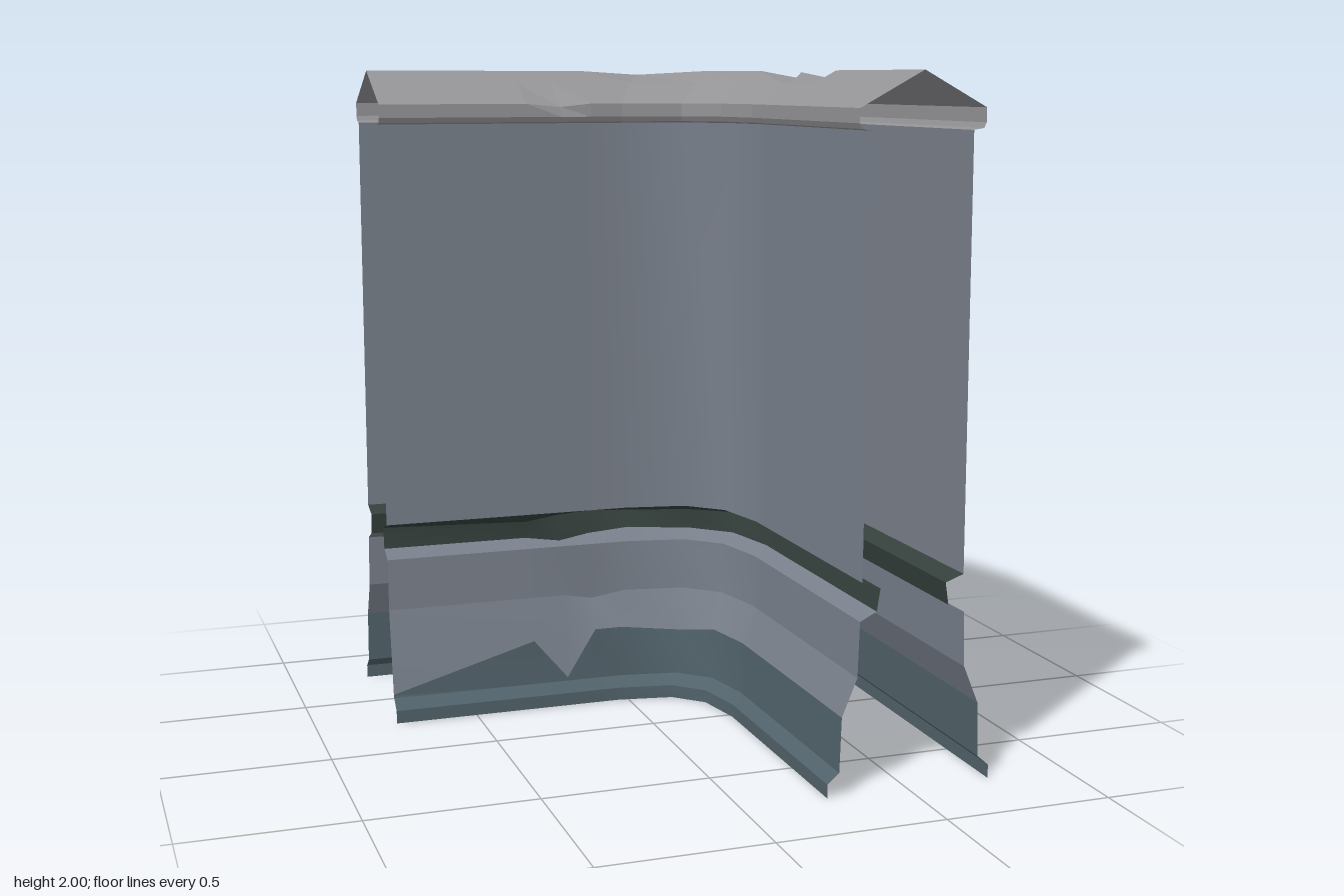
import * as THREE from 'three';

// Plan of the L-shaped run: [outer x, outer z, inner x, inner z] at the widest footing
const STATIONS = [
  [-0.755, -0.755, -0.755, -0.255],
  [-0.3, -0.755, -0.3, -0.255],
  [-0.19, -0.755, -0.19, -0.255],
  [-0.06, -0.755, -0.1, -0.255],
  [0.25, -0.755, -0.03, -0.255],
  [0.53, -0.70, 0.14, -0.225],
  [0.70, -0.53, 0.225, -0.14],
  [0.755, -0.25, 0.255, 0.02],
  [0.755, -0.1, 0.255, 0.06],
  [0.755, 0.06, 0.255, 0.12],
  [0.755, 0.18, 0.255, 0.18],
  [0.755, 0.755, 0.255, 0.755],
];
const HALF_WIDTH = 0.25;

// Wear: [profile distance, profile height, station, shift in distance, shift in height]
const DENTS = [
  // outer footing
  [0.21, 0.23, 3, 0, -0.03], [0.165, 0.34, 4, 0.01, 0.01], [0.21, 0.23, 6, -0.01, 0.02],
  [0.165, 0.34, 6, 0.01, -0.02], [0.21, 0.23, 7, 0, -0.03],
  // inner footing
  [-0.21, 0.23, 0, 0, -0.15], [-0.21, 0.23, 1, 0, -0.02], [-0.21, 0.23, 2, 0, -0.15],
  [-0.165, 0.34, 3, 0.01, -0.02], [-0.21, 0.23, 5, 0.01, -0.02],
  // grooves
  [0.11, 0.525, 7, 0.02, 0.01], [-0.11, 0.525, 2, -0.01, -0.015], [-0.11, 0.525, 4, -0.02, 0.015],
  [-0.1, 0.59, 1, -0.02, -0.01], [-0.1, 0.59, 3, -0.01, 0.01], [-0.1, 0.59, 5, -0.02, 0],
  // coping ridge and eave
  [0, 2, 4, 0.02, -0.012], [0, 2, 6, 0.02, 0], [0, 2, 7, 0.05, -0.028],
  [0, 2, 8, -0.03, -0.005], [0, 2, 9, 0.05, -0.028], [-0.187, 1.9, 2, 0.01, -0.01],
];

// Point at signed distance d from the centre line (+ is the outer side)
function pointAt(station, d, y) {
  const dent = DENTS.find((e) => e[0] === d && e[1] === y && e[2] === station) || [0, 0, 0, 0, 0];
  const [ox, oz, ix, iz] = STATIONS[station];
  const t = 0.5 + (d + dent[3]) / (2 * HALF_WIDTH);
  return [ix + (ox - ix) * t, y + dent[4], iz + (oz - iz) * t];
}

// Sweep a [distance, height] profile along the run; each band is smooth along the run with crisp edges
function sweep(name, color, profile, flatShading = false) {
  const pos = [], index = [];
  for (let r = 0; r < profile.length - 1; r++) {
    const base = pos.length / 3;
    STATIONS.forEach((_, s) => {
      pos.push(...pointAt(s, ...profile[r]), ...pointAt(s, ...profile[r + 1]));
      if (s === 0) return;
      const a = base + 2 * s - 2;
      index.push(a, a + 1, a + 3, a, a + 3, a + 2);
    });
  }
  const geometry = new THREE.BufferGeometry();
  geometry.setAttribute('position', new THREE.Float32BufferAttribute(pos, 3));
  geometry.setIndex(index);
  geometry.computeVertexNormals();
  const material = new THREE.MeshStandardMaterial({ color, flatShading, side: THREE.DoubleSide });
  const mesh = new THREE.Mesh(geometry, material);
  mesh.name = name;
  return mesh;
}

// The same profile on the inner side, reversed so that its faces point outward
const mirror = (profile) => profile.map(([d, y]) => [-d, y]).reverse();

export function createModel() {
  const group = new THREE.Group();
  group.name = 'cornerWall';

  // Bands of the wall face from the ground up, on both sides
  const bands = [
    ['Plinth', 0x51626a, [[0.25, 0], [0.25, 0.04], [0.215, 0.07], [0.21, 0.23]]],
    ['Shoulder', 0x787f8a, [[0.21, 0.23], [0.165, 0.34], [0.16, 0.5], [0.11, 0.525]]],
    ['Groove', 0x35403c, [[0.11, 0.525], [0.1, 0.59], [0.155, 0.61]]],
    ['Panel', 0x787f8a, [[0.155, 0.61], [0.15, 1.84]]],
  ];
  for (const [name, color, profile] of bands) {
    group.add(sweep('outer' + name, color, profile));
    group.add(sweep('inner' + name, color, mirror(profile)));
  }

  // Gabled coping with a chipped ridge
  const slope = [[0.15, 1.84], [0.18, 1.845], [0.187, 1.86], [0.187, 1.9], [0.07, 1.9626]];
  group.add(sweep('coping', 0x949497, [...slope, [0, 2], ...mirror(slope)], true));

  return group;
}
